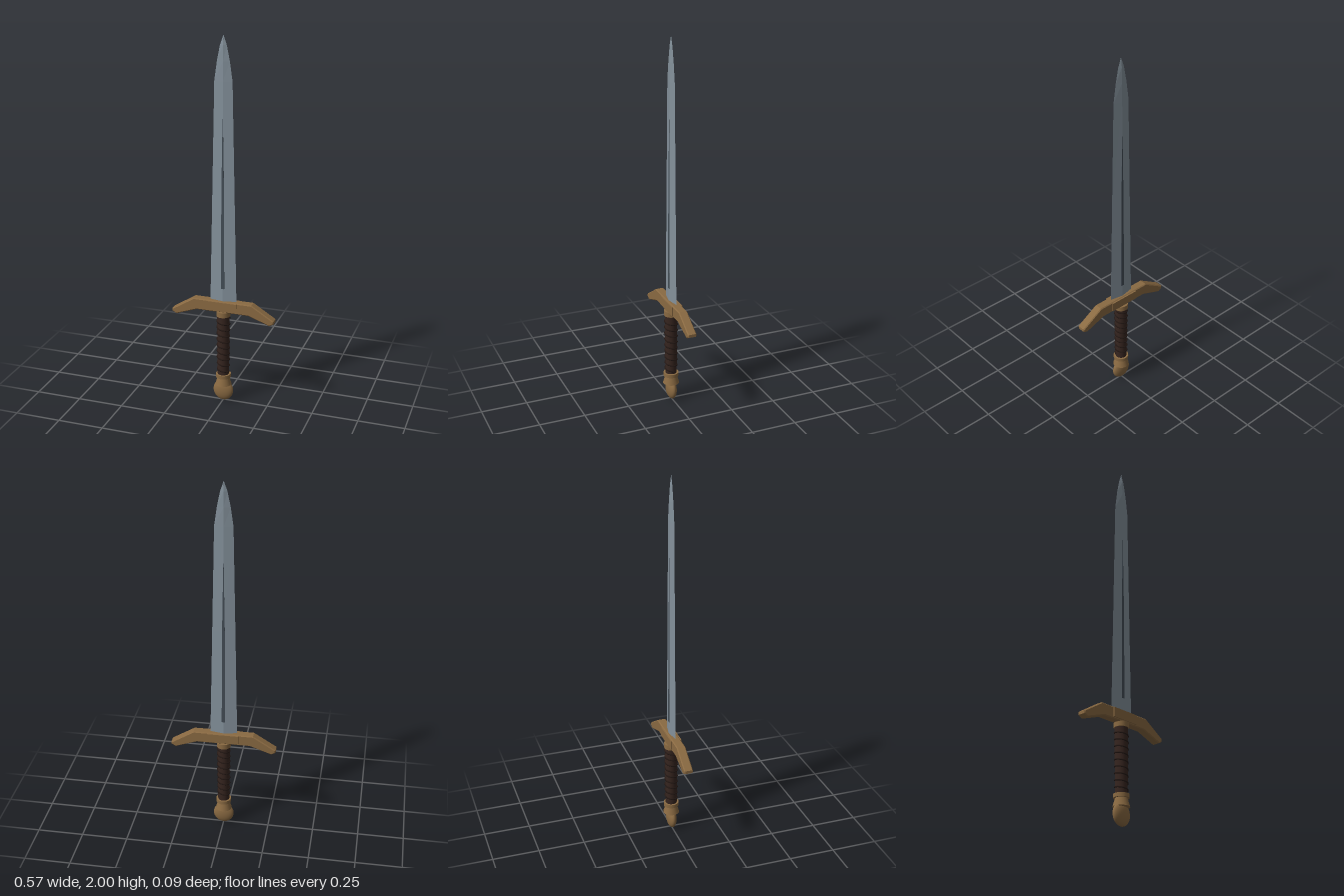
import * as THREE from 'three';

const mat = (color, flatShading = false) => new THREE.MeshStandardMaterial({ color, flatShading });

// Loft closed cross-sections upward; each section is { y, pts: [[x, z], ...] }
function loft(sections) {
  const n = sections[0].pts.length, pos = [], idx = [];
  for (const s of sections) for (const [x, z] of s.pts) pos.push(x, s.y, z);
  const last = (sections.length - 1) * n;
  for (let r = 0; r < sections.length - 1; r++) {
    for (let i = 0; i < n; i++) {
      const a = r * n + i, b = r * n + (i + 1) % n;
      idx.push(a, a + n, b, b, a + n, b + n);
    }
  }
  for (let i = 1; i < n - 1; i++) {
    idx.push(0, i, i + 1, last, last + i + 1, last + i);
  }
  const g = new THREE.BufferGeometry();
  g.setAttribute('position', new THREE.Float32BufferAttribute(pos, 3));
  g.setIndex(idx);
  const flat = g.toNonIndexed();
  flat.computeVertexNormals();
  return flat;
}

const diamond = (w, d) => [[w, 0], [0, d], [-w, 0], [0, -d]];
const slab = (w, d) => [[w, -d], [w, d], [-w, d], [-w, -d]];

export function createModel() {
  const model = new THREE.Group();
  const steel = mat(0x84919b, true), darkSteel = mat(0x434d56, true);
  const brass = mat(0x8a6a42), brassFlat = mat(0x8a6a42, true);
  const leather = mat(0x36251f), cord = mat(0x241814);

  const add = (name, geometry, material, x = 0, y = 0, z = 0) => {
    const m = new THREE.Mesh(geometry, material);
    m.name = name;
    m.position.set(x, y, z);
    model.add(m);
    return m;
  };

  // Diamond-section blade: y, half width, half thickness
  const blade = [
    [0.57, 0.073, 0.014], [1.2, 0.06, 0.0115], [1.77, 0.048, 0.009],
    [1.87, 0.034, 0.008], [1.95, 0.018, 0.006], [2.0, 0.0005, 0.0005],
  ];
  add('blade', loft(blade.map(([y, w, d]) => ({ y, pts: diamond(w, d) }))), steel);

  // Dark central groove strip, narrowing toward the tip
  const groove = [[0.66, 0.009, 0.0142], [1.2, 0.007, 0.012], [1.58, 0.001, 0.0103]];
  add('fuller', loft(groove.map(([y, w, d]) => ({ y, pts: slab(w, d) }))), darkSteel);

  // Crossguard with drooping arms and bevelled edges
  const half = [[0.16, 0.585], [0.279, 0.511], [0.279, 0.501], [0.26, 0.491], [0.145, 0.532]];
  const outline = [...half, ...half.map(([x, y]) => [-x, y]).reverse()];
  const shape = new THREE.Shape(outline.map(([x, y]) => new THREE.Vector2(x, y)));
  const guard = new THREE.ExtrudeGeometry(shape, {
    depth: 0.038, bevelEnabled: true, bevelThickness: 0.005, bevelSize: 0.005, bevelSegments: 1,
  });
  add('crossguard', guard, brassFlat, 0, 0, -0.019);
  add('guardBlock', new THREE.BoxGeometry(0.165, 0.05, 0.06), brassFlat, 0, 0.561, 0);

  // Rounded studs at the guard ends
  for (const s of [-1, 1]) {
    add('guardStud', new THREE.SphereGeometry(0.011, 16, 12), brass, s * 0.27, 0.507, 0);
  }

  // Grip with spiral cord
  add('grip', new THREE.CylinderGeometry(0.034, 0.031, 0.36, 24), leather, 0, 0.335, 0);
  const turns = 9, path = [];
  for (let i = 0; i <= turns * 16; i++) {
    const t = i / (turns * 16), a = t * turns * Math.PI * 2, r = 0.032 + 0.002 * t;
    path.push(new THREE.Vector3(Math.cos(a) * r, 0.175 + t * 0.315, Math.sin(a) * r));
  }
  add('gripWrap', new THREE.TubeGeometry(new THREE.CatmullRomCurve3(path), 288, 0.004, 6), cord);

  // Collars above and below the grip
  add('upperCollar', new THREE.CylinderGeometry(0.038, 0.038, 0.028, 24), brass, 0, 0.516, 0);
  add('lowerCollar', new THREE.CylinderGeometry(0.041, 0.041, 0.02, 24), brass, 0, 0.15, 0);
  add('pommelNeck', new THREE.CylinderGeometry(0.031, 0.044, 0.045, 24), brass, 0, 0.1185, 0);

  // Flattened round pommel
  add('pommel', new THREE.SphereGeometry(0.056, 32, 20), brass, 0, 0.06, 0).scale.set(1, 1.07, 0.45);

  return model;
}
